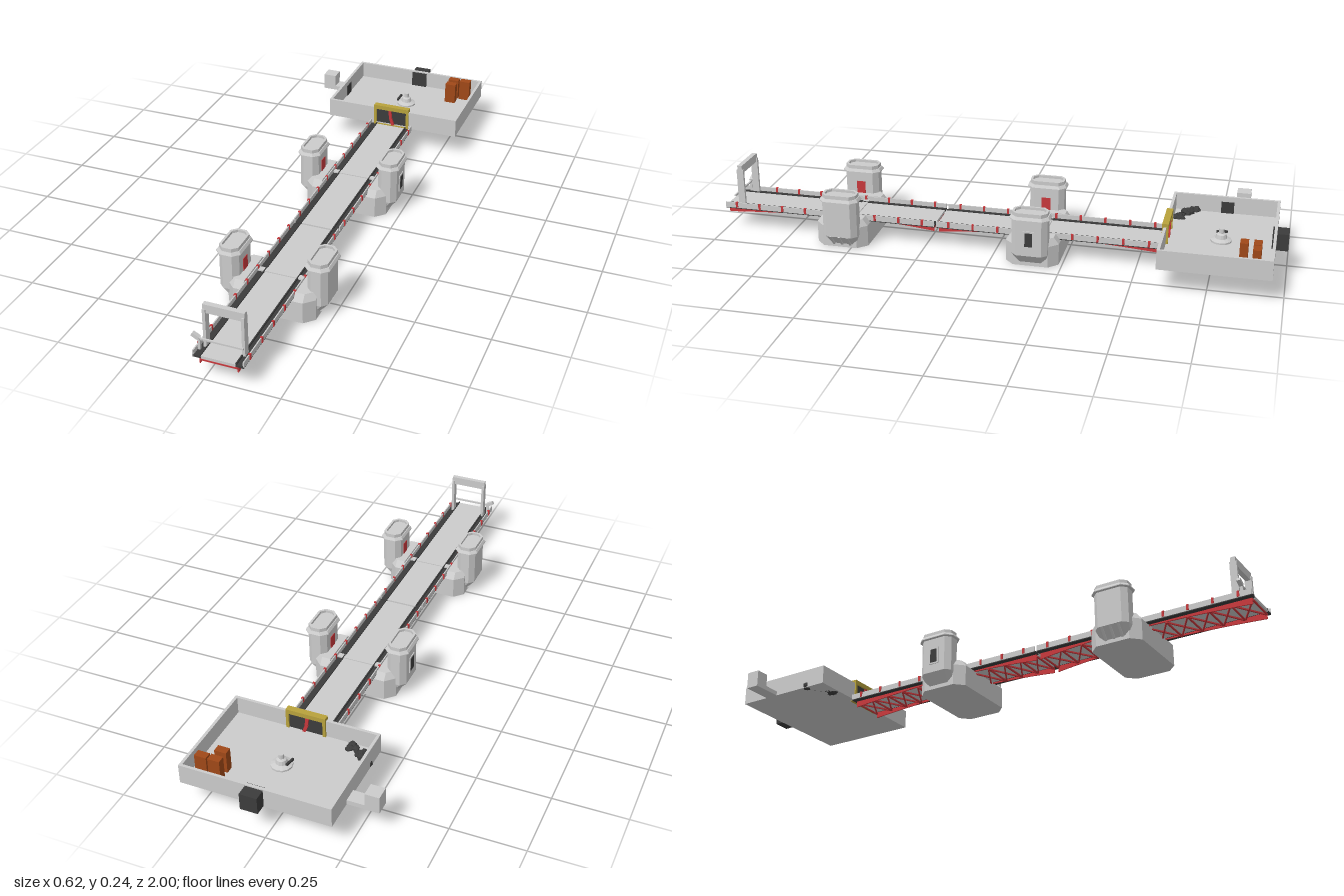
import * as THREE from 'three';

const mat = (color) => new THREE.MeshStandardMaterial({ color, flatShading: true, side: THREE.DoubleSide });
const grey = mat(0xcccccc), dark = mat(0x3c3c3c), red = mat(0xc8383c), yellow = mat(0xb8a23c), brown = mat(0xa04818);
const CX = 0.051; // centre line of the bridge

function add(parent, name, geo, material = grey) {
  const m = new THREE.Mesh(geo, material);
  m.name = name;
  parent.add(m);
  return m;
}

// box given by its extents
function box(parent, name, [x0, x1], [y0, y1], [z0, z1], material) {
  const m = add(parent, name, new THREE.BoxGeometry(x1 - x0, y1 - y0, z1 - z0), material);
  m.position.set((x0 + x1) / 2, (y0 + y1) / 2, (z0 + z1) / 2);
  return m;
}

// straight bar between two points
function bar(parent, name, a, b, w, material) {
  const p = new THREE.Vector3(...a), q = new THREE.Vector3(...b);
  const m = add(parent, name, new THREE.BoxGeometry(w, w, p.distanceTo(q)), material);
  m.position.copy(p).add(q).multiplyScalar(0.5);
  m.lookAt(q);
  return m;
}

// closed solid through convex rings of [x, z] points at rising heights
function loft(rings) {
  const pos = [], n = rings[0].pts.length;
  const put = (r, i) => pos.push(r.pts[i % n][0], r.y, r.pts[i % n][1]);
  for (let k = 0; k + 1 < rings.length; k++) {
    const a = rings[k], b = rings[k + 1];
    for (let i = 0; i < n; i++) {
      put(a, i); put(a, i + 1); put(b, i + 1);
      put(a, i); put(b, i + 1); put(b, i);
    }
  }
  const lo = rings[0], hi = rings[rings.length - 1];
  for (let i = 1; i + 1 < n; i++) {
    put(lo, 0); put(lo, i + 1); put(lo, i);
    put(hi, 0); put(hi, i); put(hi, i + 1);
  }
  const g = new THREE.BufferGeometry();
  g.setAttribute('position', new THREE.Float32BufferAttribute(pos, 3));
  g.computeVertexNormals();
  return g;
}

// rectangle with cut corners
const octagon = (hx, hz, c, dx = 0) => [
  [hx, hz - c], [hx, c - hz], [hx - c, -hz], [c - hx, -hz],
  [-hx, c - hz], [-hx, hz - c], [c - hx, hz], [hx - c, hz],
].map(([x, z]) => [x + dx, z]);

// tower whose outer side is +x
function tower(ribs, windowed) {
  const g = new THREE.Group();
  const rings = [
    [0.01, 0.03, 0.05, 0.014, -0.03], [0.05, 0.035, 0.062, 0.018], [0.178, 0.035, 0.062, 0.018],
    [0.18, 0.043, 0.07, 0.022], [0.183, 0.043, 0.07, 0.022], [0.192, 0.037, 0.064, 0.02],
    [0.192, 0.034, 0.061, 0.018], [0.205, 0.034, 0.061, 0.018],
    [0.205, 0.026, 0.053, 0.014], [0.196, 0.026, 0.053, 0.014],
  ];
  add(g, 'towerBody', loft(rings.map(([y, hx, hz, c, dx]) => ({ y, pts: octagon(hx, hz, c, dx) }))));
  box(g, 'towerDoor', [-0.037, -0.034], [0.1, 0.145], [-0.016, 0.016], red);
  if (windowed) {
    box(g, 'windowFrame', [0.034, 0.038], [0.08, 0.142], [-0.02, 0.02]);
    box(g, 'windowPane', [0.036, 0.039], [0.086, 0.136], [-0.013, 0.013], dark);
  }
  if (ribs) for (let i = -1; i <= 1; i++)
    bar(g, 'corbelRib', [0.003, 0.012, i * 0.03], [0.034, 0.052, i * 0.03], 0.008);
  return g;
}

// pier with a channel for the deck and a tower on each side
function pier(z, towerShift, ribs) {
  const g = new THREE.Group();
  g.name = 'pier';
  g.position.set(CX, 0, z);
  const hx = 0.152, hz = 0.093, c = 0.032, w = 0.088;
  const base = octagon(hx, hz, c);
  add(g, 'pierBase', loft([{ y: 0, pts: base }, { y: 0.076, pts: base }]));
  const shoulder = (d) => [[hx, hz - c - d], [hx, c + d - hz], [hx - c, d - hz], [w, d - hz], [w, hz - d], [hx - c, hz - d]];
  for (const s of [1, -1]) {
    const side = new THREE.Group();
    side.name = s > 0 ? 'leftTower' : 'rightTower';
    side.rotation.y = s > 0 ? 0 : Math.PI;
    add(side, 'pierShoulder', loft([{ y: 0.076, pts: shoulder(0) }, { y: 0.1, pts: shoulder(0.018) }]));
    const t = tower(ribs, !ribs);
    t.position.set(0.149, 0, -towerShift);
    side.add(t);
    g.add(side);
  }
  // threshold across the walkways
  box(g, 'threshold', [-w, w], [0.076, 0.089], [-0.035, -0.015]);
  return g;
}

// arched girders with cross bracing, deep at the free end
function truss(zFree, zPier) {
  const g = new THREE.Group();
  g.name = 'truss';
  const L = zPier - zFree, s = new THREE.Shape();
  s.moveTo(zFree, 0.078);
  s.lineTo(zFree, 0.055);
  s.quadraticCurveTo(zFree + L * 0.5, 0.07, zPier, 0.073);
  s.lineTo(zPier, 0.078);
  for (const side of [-1, 1]) {
    const geo = new THREE.ExtrudeGeometry(s, { depth: 0.004, bevelEnabled: false, curveSegments: 8 });
    add(g, 'girder', geo.rotateY(-Math.PI / 2), red).position.x = CX + side * 0.062 + 0.002;
  }
  const n = Math.max(3, Math.round(Math.abs(L) / 0.075)), x0 = CX - 0.062, x1 = CX + 0.062;
  for (let i = 0; i < n; i++) {
    const a = zFree + (L * i) / n, b = zFree + (L * (i + 1)) / n, y = 0.07;
    bar(g, 'brace', [x0, y, a], [x1, y, b], 0.005, red);
    bar(g, 'brace', [x1, y, a], [x0, y, b], 0.005, red);
    bar(g, 'crossBeam', [x0, y, a], [x1, y, a], 0.005, red);
  }
  return g;
}

function deck(z0, z1) {
  const g = new THREE.Group();
  g.name = 'deckSpan';
  box(g, 'roadway', [CX - 0.056, CX + 0.056], [0.076, 0.086], [z0, z1]);
  for (const s of [-1, 1]) {
    const strip = (a, b) => [CX + s * a, CX + s * b].sort((p, q) => p - q);
    box(g, 'walkway', strip(0.056, 0.083), [0.077, 0.084], [z0, z1], dark);
    box(g, 'kerb', strip(0.056, 0.06), [0.084, 0.09], [z0, z1], dark);
    box(g, 'sideRail', strip(0.08, 0.084), [0.08, 0.1], [z0, z1]);
    const n = Math.round((z1 - z0) / 0.09);
    for (let i = 0; i < n; i++) {
      const z = z0 + ((i + 0.5) * (z1 - z0)) / n;
      box(g, 'railPost', strip(0.079, 0.087), [0.082, 0.102], [z - 0.004, z + 0.004], red);
    }
  }
  return g;
}

// entrance arch with a swing barrier
function entrance() {
  const g = new THREE.Group();
  g.name = 'entrance';
  for (const s of [-1, 1])
    box(g, 'archPost', [CX + s * 0.063 - 0.005, CX + s * 0.063 + 0.005], [0.085, 0.222], [0.93, 0.955]);
  box(g, 'archSign', [CX - 0.068, CX + 0.068], [0.208, 0.238], [0.934, 0.951]);
  bar(g, 'barrierArm', [-0.025, 0.122, 0.967], [0.12, 0.122, 0.967], 0.006);
  bar(g, 'counterweight', [-0.047, 0.136, 0.967], [-0.024, 0.124, 0.967], 0.013);
  box(g, 'barrierPost', [-0.028, -0.02], [0.085, 0.125], [0.962, 0.972]);
  return g;
}

function platform() {
  const g = new THREE.Group();
  g.name = 'platform';
  const X = [-0.206, 0.31], Z = [-0.96, -0.585], H = [0.085, 0.154], t = 0.01;
  box(g, 'floor', X, [0.085, 0.093], Z);
  box(g, 'backWall', X, H, [Z[0], Z[0] + t]);
  box(g, 'rightWall', [X[0], X[0] + t], H, Z);
  box(g, 'leftWall', [X[1] - t, X[1]], H, Z);
  box(g, 'frontWall', [X[0], -0.017], H, [Z[1] - t, Z[1]]);
  box(g, 'frontWall', [0.119, X[1]], H, [Z[1] - t, Z[1]]);

  // gate
  const gz = [-0.602, -0.58];
  box(g, 'gateLintel', [-0.019, 0.121], [0.15, 0.166], gz, yellow);
  box(g, 'gateSill', [-0.019, 0.121], [0.082, 0.089], gz, yellow);
  for (const x of [-0.019, 0.111]) box(g, 'gateJamb', [x, x + 0.01], [0.085, 0.166], gz, yellow);
  box(g, 'gatePanel', [-0.009, 0.111], [0.086, 0.15], [-0.596, -0.586], dark);
  for (const z of [-0.597, -0.585]) {
    bar(g, 'gateStripe', [0.045, 0.149, z], [0.049, 0.118, z], 0.011, red);
    bar(g, 'gateStripe', [0.048, 0.12, z], [0.059, 0.09, z], 0.011, red);
  }

  // rear hatch and side annex
  box(g, 'rearHatch', [0.02, 0.08], [0.09, 0.15], [-1, -0.945], dark);
  box(g, 'annexWalk', [-0.27, -0.2], [0.085, 0.101], [-0.853, -0.804]);
  box(g, 'annexBlock', [-0.314, -0.265], [0.085, 0.146], [-0.853, -0.804]);
  box(g, 'sideDoor', [-0.197, -0.193], [0.093, 0.135], [-0.8, -0.755], dark);

  for (const [x, z] of [[0.19, -0.917], [0.236, -0.917], [0.19, -0.873]])
    box(g, 'crate', [x, x + 0.041], [0.093, 0.171], [z, z + 0.027], brown);

  // central turntable
  const hub = new THREE.Group();
  hub.name = 'turntable';
  hub.position.set(CX, 0.093, -0.775);
  const profile = [[0, 0], [0.036, 0], [0.036, 0.006], [0.02, 0.012], [0.017, 0.026], [0.009, 0.03], [0.009, 0.046], [0, 0.046]];
  add(hub, 'hub', new THREE.LatheGeometry(profile.map((p) => new THREE.Vector2(...p)), 12));
  bar(hub, 'hubLever', [-0.01, 0.024, 0], [-0.048, 0.02, 0], 0.007, dark);
  g.add(hub);

  // rubble in the corner
  let seed = 7;
  const rnd = () => (seed = (seed * 16807) % 2147483647) / 2147483647;
  for (let i = 0; i < 18; i++) {
    const u = rnd(), r = 0.009 + rnd() * 0.009;
    const m = add(g, 'rubble', new THREE.IcosahedronGeometry(r, 0), dark);
    m.position.set(-0.195 + u * 0.09, 0.09 + rnd() * 0.018 * (1 - u), -0.675 + u * 0.04 + rnd() * 0.04);
    m.rotation.set(rnd() * 3, rnd() * 3, 0);
  }
  return g;
}

export function createModel() {
  const model = new THREE.Group();
  model.name = 'fortifiedBridge';
  model.add(deck(0.215, 1), deck(-0.585, 0.207));
  for (const [a, b] of [[0.995, 0.62], [0.22, 0.46], [0.203, -0.06], [-0.575, -0.23]]) model.add(truss(a, b));
  model.add(pier(0.541, 0.008, true), pier(-0.145, 0, false));
  model.add(entrance(), platform());
  return model;
}
